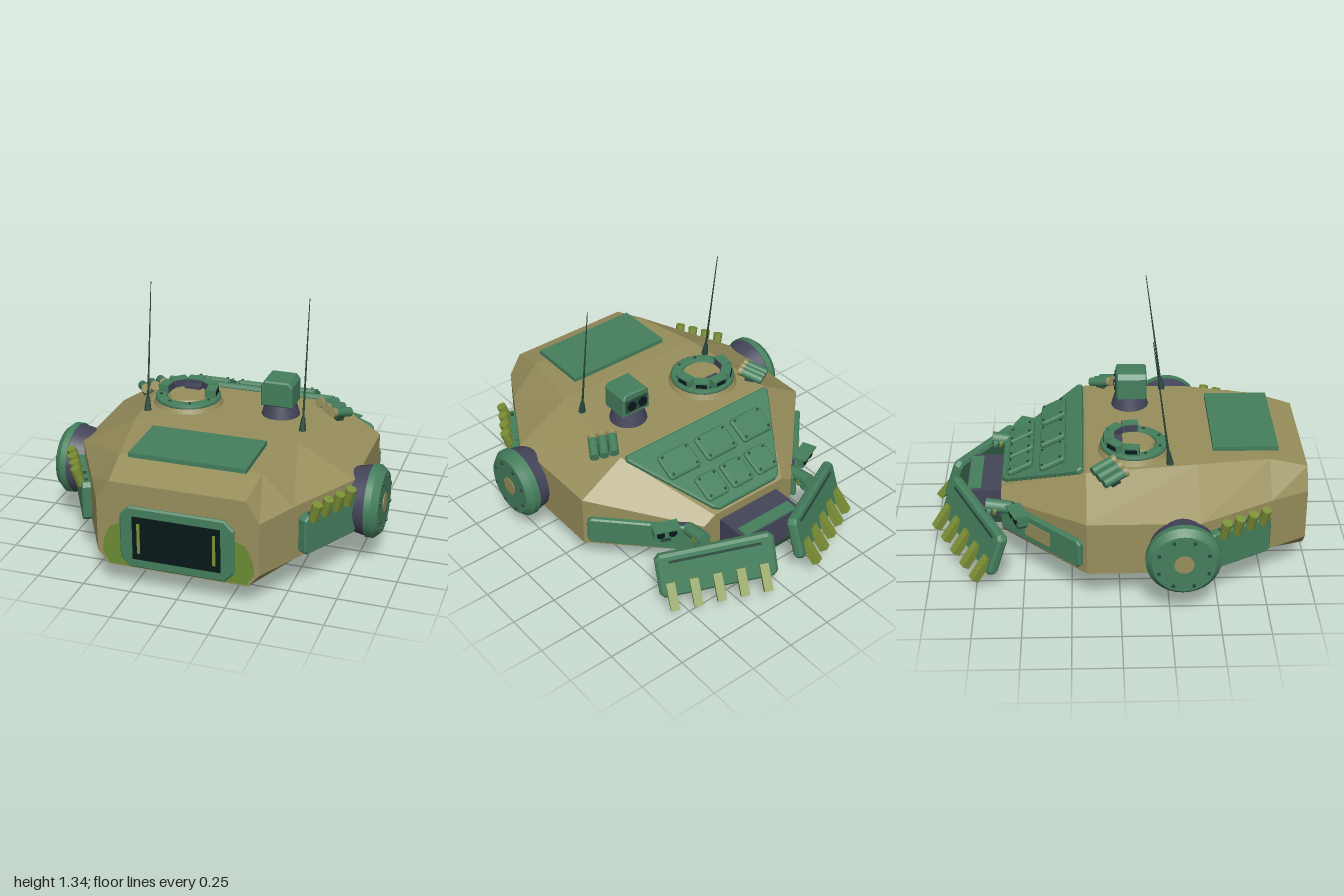
import * as THREE from 'three';

const mat = (name, color) => {
  const m = new THREE.MeshStandardMaterial({ color });
  m.name = name;
  return m;
};

export function createModel() {
  const tan = mat('tan', 0x988f5c), green = mat('green', 0x457f5d), dark = mat('dark green', 0x28483a);
  const olive = mat('olive', 0x7c9036), lime = mat('camouflage lime', 0x6c8c34);
  const navy = mat('navy grey', 0x444559), glass = mat('dark glass', 0x06181b);
  const root = new THREE.Group();
  root.name = 'turret';

  const add = (parent, name, geo, m, p = [0, 0, 0], r = [0, 0, 0]) => {
    const o = new THREE.Mesh(geo, m);
    o.name = name;
    o.position.set(...p);
    o.rotation.set(...r);
    parent.add(o);
    return o;
  };
  const group = (name, p = [0, 0, 0], r = [0, 0, 0], parent = root) => {
    const g = new THREE.Group();
    g.name = name;
    g.position.set(...p);
    g.rotation.set(...r, 'YXZ');
    parent.add(g);
    return g;
  };
  const box = (w, h, d) => new THREE.BoxGeometry(w, h, d);
  const cyl = (a, b, h, n = 24) => new THREE.CylinderGeometry(a, b, h, n);

  // Bevelled slab from an outline, back face at z = 0
  const slab = (pts, d, b = 0.008) => new THREE.ExtrudeGeometry(
    new THREE.Shape(pts.map(([x, y]) => new THREE.Vector2(x, y))),
    { depth: d - 2 * b, bevelEnabled: b > 0, bevelSize: b, bevelThickness: b, bevelOffset: -b, bevelSegments: 1 }
  ).translate(0, 0, b);
  const octagon = (w, h, c) => {
    const x = w / 2, y = h / 2;
    return [[-x + c, -y], [x - c, -y], [x, -y + c], [x, y - c], [x - c, y], [-x + c, y], [-x, y - c], [-x, -y + c]];
  };

  // Copy of a left-side group baked onto the right side, with corner order kept outward
  const mirror = (g) => {
    root.updateMatrixWorld(true);
    const out = group(g.name + 'Right');
    g.traverse((o) => {
      if (!o.isMesh) return;
      const geo = o.geometry.index ? o.geometry.toNonIndexed() : o.geometry.clone();
      geo.applyMatrix4(o.matrixWorld).scale(-1, 1, 1);
      for (const a of Object.values(geo.attributes)) {
        const n = a.itemSize;
        for (let i = 0; i < a.count; i += 3) for (let k = 0; k < n; k++) {
          const u = (i + 1) * n + k, t = a.array[u];
          a.array[u] = a.array[u + n];
          a.array[u + n] = t;
        }
      }
      add(out, o.name, geo, o.material);
    });
    g.name += 'Left';
    return out;
  };

  // Faceted hull: z, bottom half width, bottom y, half width, lower y, upper y, roof half width, roof y
  const sections = [
    [0.98, 0.36, 0.13, 0.42, 0.2, 0.48, 0.35, 0.59],
    [0.78, 0.38, 0.1, 0.53, 0.2, 0.49, 0.37, 0.645],
    [0.4, 0.42, 0.085, 0.74, 0.2, 0.49, 0.44, 0.658],
    [-0.17, 0.4, 0.085, 0.74, 0.2, 0.49, 0.49, 0.645],
    [-0.62, 0.24, 0.16, 0.3, 0.21, 0.38, 0.23, 0.42],
  ].map(([z, wb, yb, w, yl, yh, wt, yt]) => [
    [wb, yb, z], [w, yl, z], [w, yh, z], [wt, yt, z], [-wt, yt, z], [-w, yh, z], [-w, yl, z], [-wb, yb, z]]);
  const pos = [], tri = (...p) => p.forEach((v) => pos.push(...v));
  for (let i = 0; i < sections.length - 1; i++) for (let j = 0; j < 8; j++) {
    const A = sections[i], B = sections[i + 1], k = (j + 1) % 8;
    tri(A[j], B[j], B[k]);
    tri(A[j], B[k], A[k]);
  }
  const F = sections[0], R = sections[sections.length - 1];
  for (let j = 1; j < 7; j++) {
    tri(F[0], F[j], F[j + 1]);
    tri(R[0], R[j + 1], R[j]);
  }
  const hullGeo = new THREE.BufferGeometry();
  hullGeo.setAttribute('position', new THREE.Float32BufferAttribute(pos, 3));
  hullGeo.computeVertexNormals();
  add(root, 'hull', hullGeo, tan);

  // Turret ring underneath
  const ring = group('turretRing', [0, 0, 0.28]);
  add(ring, 'ringNeck', cyl(0.2, 0.2, 0.07, 40), green, [0, 0.065, 0]);
  add(ring, 'ringBand', cyl(0.21, 0.21, 0.02, 40), tan, [0, 0.047, 0]);
  add(ring, 'ringFlange', cyl(0.222, 0.222, 0.02, 40), dark, [0, 0.025, 0]);
  add(ring, 'ringBase', cyl(0.22, 0.21, 0.014, 40), green, [0, 0.008, 0]);
  add(ring, 'ringCentre', cyl(0.04, 0.04, 0.004), tan, [0, 0.002, 0]);

  // Front window
  const win = group('frontWindow', [0, 0.308, 0.975]);
  add(win, 'windowFrame', slab(octagon(0.59, 0.335, 0.05), 0.022), green);
  add(win, 'windowGlass', box(0.455, 0.235, 0.006), glass, [0, 0, 0.022]);
  const patch = [[0.22, -0.17], [0.355, -0.17], [0.392, -0.11], [0.385, -0.04], [0.35, 0.04], [0.3, 0.06], [0.22, 0.02]];
  for (const s of [1, -1]) {
    add(win, 'windowBar', box(0.016, 0.165, 0.004), olive, [s * 0.195, 0, 0.025]);
    const outline = s > 0 ? patch : patch.map(([x, y]) => [-x, y]).reverse();
    add(win, 'camouflagePatch', slab(outline, 0.008, 0), lime);
    add(win, 'camouflageUnderside', box(0.2, 0.005, 0.15), lime, [s * 0.25, -0.193, -0.085], [-0.149, 0, 0]);
  }

  // Roof plate
  add(root, 'roofPlate', box(0.61, 0.024, 0.34), green, [0, 0.67, 0.66]);

  // Commander hatch with periscopes around its rear half
  const hatch = group('hatch', [-0.26, 0.65, 0.08]);
  add(hatch, 'hatchBase', cyl(0.172, 0.188, 0.036, 32), tan, [0, 0.018, 0]);
  const rim = [[0.112, 0.02], [0.175, 0.02], [0.175, 0.042], [0.165, 0.05], [0.122, 0.05], [0.112, 0.042], [0.112, 0.02]];
  add(hatch, 'hatchRim', new THREE.LatheGeometry(rim.map((p) => new THREE.Vector2(...p)), 32), green);
  add(hatch, 'hatchLid', cyl(0.1, 0.112, 0.02), tan, [0, 0.038, 0]);
  for (let i = -2; i <= 2; i++) {
    const p = group('periscope', [0, 0, 0], [0, Math.PI + i * 0.72, 0], hatch);
    add(p, 'periscopeBody', box(0.085, 0.05, 0.055), green, [0, 0.065, 0.13]);
    add(p, 'periscopeBack', box(0.072, 0.036, 0.006), navy, [0, 0.068, 0.102]);
    add(p, 'periscopeGlass', box(0.06, 0.022, 0.004), glass, [0, 0.07, 0.158]);
  }
  add(hatch, 'hatchHinge', box(0.09, 0.02, 0.05), navy, [0, 0.055, -0.085]);
  for (let i = 0; i < 8; i++) {
    const a = (i + 0.5) * Math.PI / 4;
    add(hatch, 'hatchBolt', cyl(0.008, 0.008, 0.008, 8), dark, [0.145 * Math.cos(a), 0.052, 0.145 * Math.sin(a)]);
  }

  // Sight head on a pedestal, lenses at the back
  const sight = group('sight', [0.255, 0.65, 0.075]);
  add(sight, 'sightPedestal', cyl(0.08, 0.102, 0.075), navy, [0, 0.0375, 0]);
  const head = [[-0.085, 0.07], [0.085, 0.07], [0.085, 0.185], [0.065, 0.21], [-0.065, 0.21], [-0.085, 0.185]];
  add(sight, 'sightHead', slab(head, 0.165), green, [0, 0, -0.075]);
  add(sight, 'sightFace', box(0.14, 0.075, 0.008), dark, [0, 0.135, -0.077]);
  for (const s of [1, -1]) add(sight, 'sightLens', cyl(0.027, 0.027, 0.016, 16), glass, [s * 0.035, 0.135, -0.08], [Math.PI / 2, 0, 0]);

  // Armour on the sloping rear deck: local x across, y up the slope, z outward
  const slope = Math.atan2(0.225, 0.45);
  const deck = group('rearArmour', [0, 0.534, -0.395], [slope - Math.PI / 2, Math.PI, 0]);
  const plate = [[0.47, 0.24], [-0.47, 0.24], [-0.48, 0.215], [-0.22, -0.22], [-0.19, -0.24], [0.19, -0.24], [0.22, -0.22], [0.48, 0.215]];
  add(deck, 'armourPlate', slab(plate, 0.035), green, [0, 0, -0.005]);
  for (const [y, w, step] of [[-0.115, 0.14, 0.168], [0.078, 0.2, 0.245]]) for (const i of [-1, 0, 1]) {
    const panel = group('armourPanel', [i * step, y, 0.028], [0, 0, 0], deck);
    add(panel, 'panelBlock', slab(octagon(w, 0.148, 0.012), 0.03), green);
    for (const u of [-1, 1]) for (const v of [-1, 1])
      add(panel, 'panelBolt', cyl(0.007, 0.007, 0.01, 8), dark, [u * (w / 2 - 0.022), v * 0.053, 0.032], [Math.PI / 2, 0, 0]);
  }

  // Rear bustle box
  const bustle = group('bustle', [0, -0.03, -0.7]);
  add(bustle, 'bustleBox', box(0.385, 0.16, 0.22), navy, [0, 0.32, 0]);
  add(bustle, 'bustleLid', box(0.34, 0.008, 0.07), green, [0, 0.402, -0.068]);
  add(bustle, 'bustleBase', box(0.37, 0.05, 0.2), dark, [0, 0.22, 0.005]);

  // Side drum with bolted cover
  const drum = group('sideDrum', [0, 0.34, 0.31]);
  const turned = [0, 0, -Math.PI / 2];
  add(drum, 'drumNeck', cyl(0.185, 0.155, 0.15, 32), navy, [0.735, 0, 0], turned);
  add(drum, 'drumCover', cyl(0.19, 0.19, 0.035, 32), green, [0.825, 0, 0], turned);
  add(drum, 'drumBevel', cyl(0.16, 0.19, 0.035, 32), green, [0.86, 0, 0], turned);
  add(drum, 'drumCentre', cyl(0.05, 0.05, 0.006, 20), tan, [0.879, 0, 0], turned);
  for (let i = 0; i < 8; i++) {
    const a = (i + 0.5) * Math.PI / 4;
    add(drum, 'drumBolt', cyl(0.009, 0.009, 0.012, 8), dark, [0.88, 0.135 * Math.sin(a), 0.135 * Math.cos(a)], turned);
  }
  mirror(drum);

  // Front cheek plate with a row of tubes
  const cheek = group('cheekPlate', [0.635, 0.33, 0.59], [0, 1.066, 0]);
  add(cheek, 'cheekBlock', slab(octagon(0.37, 0.21, 0.02), 0.055), green, [0, 0, -0.005]);
  for (let i = 0; i < 4; i++) {
    const x = -0.13 + i * 0.08;
    add(cheek, 'cheekTube', cyl(0.026, 0.024, 0.1, 14), olive, [x, 0.125, 0.06], [0.3, 0, 0]);
    add(cheek, 'tubeBracket', box(0.03, 0.03, 0.05), dark, [x, 0.09, 0.035]);
  }
  mirror(cheek);

  // Rear flank plate, with a bare patch on the right one
  const flank = group('flankPlate', [0.52, 0.31, -0.395], [0, 2.345, 0]);
  add(flank, 'flankBlock', slab(octagon(0.58, 0.16, 0.02), 0.035), green, [0, 0, -0.005]);
  mirror(flank);
  const bare = group('flankPatchMount', [-0.52, 0.31, -0.395], [0, -2.345, 0]);
  add(bare, 'flankPatch', box(0.18, 0.08, 0.006), tan, [-0.01, 0, 0.031]);

  // Whip antenna, raked backwards
  const antenna = group('antenna', [0.425, 0.65, 0.26], [-0.135, 0, 0]);
  add(antenna, 'antennaBase', cyl(0.01, 0.02, 0.075, 12), dark, [0, 0.0375, 0]);
  add(antenna, 'antennaWhip', cyl(0.002, 0.006, 0.63, 8), dark, [0, 0.38, 0]);
  mirror(antenna);

  // Triple launcher on the roof edge
  const launcher = group('launcher', [0.515, 0.665, -0.055], [-0.25, -0.53, -0.22]);
  for (const i of [-1, 0, 1]) {
    add(launcher, 'launcherTube', cyl(0.025, 0.025, 0.12, 14), green, [i * 0.052, 0, -0.005], [Math.PI / 2, 0, 0]);
    add(launcher, 'launcherCap', cyl(0.026, 0.026, 0.022, 14), tan, [i * 0.052, 0, 0.063], [Math.PI / 2, 0, 0]);
  }
  add(launcher, 'launcherMount', box(0.13, 0.04, 0.05), dark, [0, -0.025, 0]);
  mirror(launcher);

  // Toothed rear blade: local x towards the middle, z outward
  const blade = group('blade', [0.34, 0.245, -0.77], [-0.3, 2.63, 0.1]);
  add(blade, 'bladePlate', slab(octagon(0.62, 0.245, 0.025), 0.055, 0.014), green, [0, 0.005, -0.03]);
  add(blade, 'bladeRail', box(0.48, 0.012, 0.008), dark, [0, 0.085, 0.026]);
  for (let i = 0; i < 5; i++)
    add(blade, 'bladeTooth', box(0.046, 0.145, 0.042), olive, [-0.25 + i * 0.122, -0.1, 0.042], [-0.33, 0, 0]);
  mirror(blade);

  // Arm carrying the blade
  const arm = group('bladeArm', [0.36, 0.37, -0.6]);
  const along = [Math.PI / 2 + 0.15, 0, 0];
  add(arm, 'armTube', cyl(0.036, 0.036, 0.2, 16), green, [0, 0, 0], along);
  add(arm, 'armBand', cyl(0.039, 0.039, 0.018, 16), olive, [0, -0.007, -0.05], along);
  add(arm, 'armCollar', cyl(0.041, 0.041, 0.02, 16), green, [0, -0.012, -0.08], along);
  add(arm, 'armJoint', cyl(0.042, 0.042, 0.06, 16), navy, [0, 0, 0.08]);
  mirror(arm);

  // Twin-lens lamp box
  const lamp = group('rearLamps', [0.475, 0.385, -0.52], [0, 2.75, 0]);
  add(lamp, 'lampBox', box(0.13, 0.055, 0.06), green);
  add(lamp, 'lampVisor', box(0.14, 0.008, 0.08), green, [0, 0.03, 0.008]);
  add(lamp, 'lampBracket', box(0.05, 0.05, 0.07), dark, [0, -0.04, -0.02]);
  for (const s of [1, -1]) add(lamp, 'lampLens', cyl(0.022, 0.022, 0.01, 14), glass, [s * 0.032, 0, 0.031], [Math.PI / 2, 0, 0]);
  mirror(lamp);

  // Towing eye under the tail
  const eye = group('towEye', [0.17, 0.155, -0.6]);
  add(eye, 'towRing', new THREE.TorusGeometry(0.024, 0.007, 8, 18), green, [0, 0, 0], [0, Math.PI / 2, 0]);
  mirror(eye);

  return root;
}
